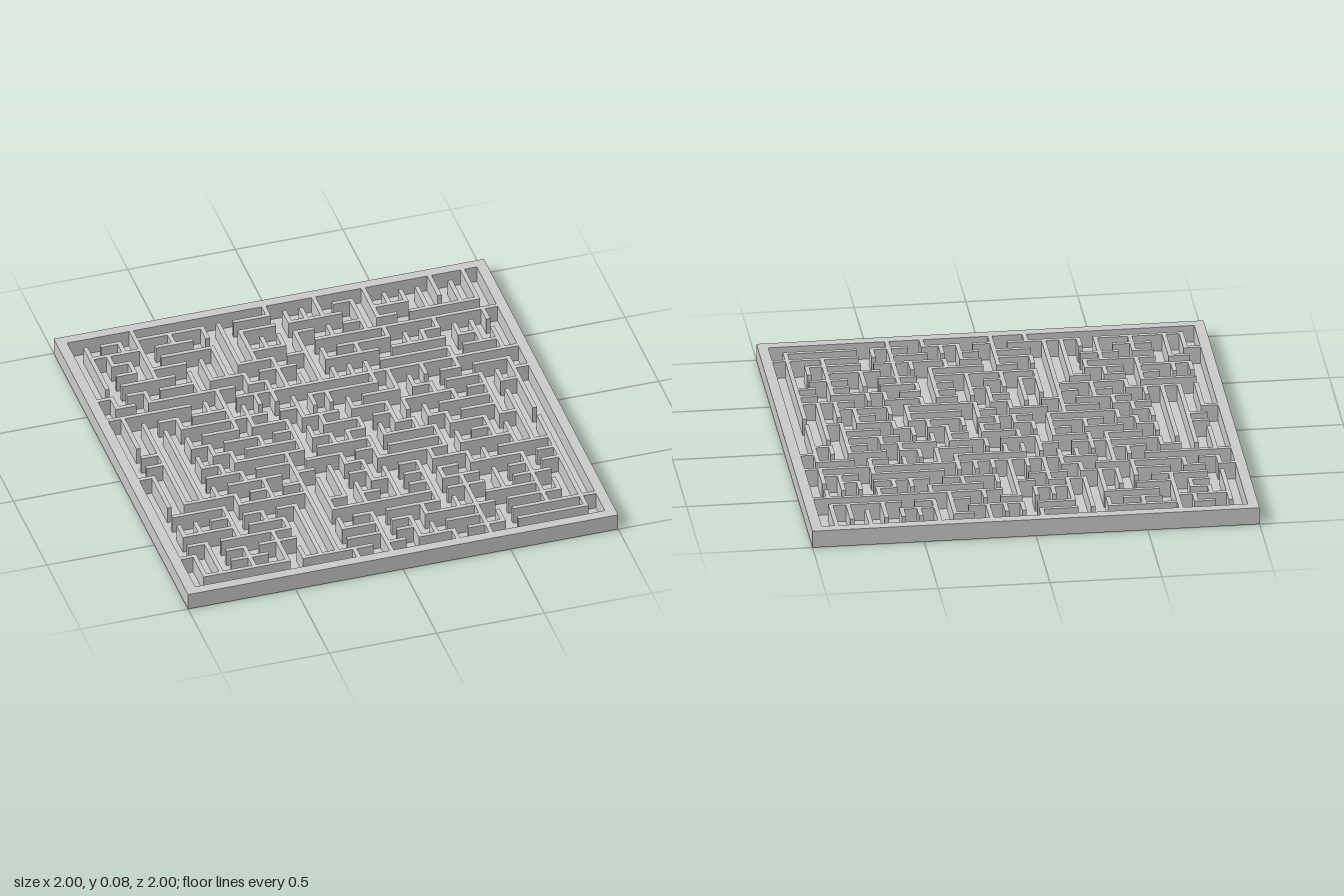
import * as THREE from 'three';

const CELLS = 25, HEIGHT = 0.08, WALL = 0.02, INNER = 0.9525;
const PITCH = (2 * INNER + WALL) / CELLS;

// One letter per inner grid post: the direction its wall runs (u = back, d = front, l, r)
const POSTS = [
  'drdulllldrruddurdudddudu',
  'rrruruluddllrruldulldudu'.replace(' ', ''),
  'uulurrrddddddldrdulrrrru',
  'uruulldddd' + 'lldrrrrrrrrrrr',
  'urruldddrrdrddrrrudruddu',
  'lrdrrdrrdrdldrrulrrulrdd',
  'ulrrrrdlrdddddddrrrrdrrd',
  'lllllddrrrrrrrrrrrrrrrrr',
  'udrdrrdduudrrrruudururrd',
  'uddrrrrdlrduudrrurdrrddr',
  'udddrrurrdrdlrrdrrrdrdru',
  'rddrdrrdrddrrdrdudrrrddu',
  'rdddrdrrrdrddldrdrdrrddu',
  'lddrdrrrdlrrrdrrrdrrdrdu',
  'uddrrdrrdrrdrdrrrddrdddd',
  'udddrrdldldrdrrrdlrrrddd',
  'urrrdrdrdddrddrdrrddrrrd',
  'rrrdrrrrddddrdrddlrrrdrd',
  'ddrdrdrdddldldrdrdldrdrd',
  'rrrdrrdddrrrrrrdrdldrdld',
  'rdrrrdldddrdrrdlddrrrddd',
  'ldrdrdlddrrdrdrrrdlrrdld',
  'udrdlddddrrdrddrrddrrrrr',
  'ulllllrrrdldlrrdrdlrrrru',
];
const STEP = { u: [0, -1], d: [0, 1], l: [-1, 0], r: [1, 0] };

// Strips alternate rim/wall (even) and corridor (odd)
const STRIPS = 2 * CELLS + 1;
function edge(i) {
  if (i === 0) return -1;
  if (i === STRIPS) return 1;
  const line = -INNER - WALL / 2 + Math.floor(i / 2) * PITCH;
  return line + (i % 2 ? WALL / 2 : -WALL / 2);
}

// Mark which strip crossings are raised
function raisedCells() {
  const raised = new Set();
  const mark = (i, j) => raised.add(j * STRIPS + i);
  for (let k = 0; k < STRIPS; k++) {
    mark(k, 0); mark(k, STRIPS - 1); mark(0, k); mark(STRIPS - 1, k);
  }
  POSTS.forEach((row, r) => [...row].forEach((c, k) => {
    const i = 2 * (k + 1), j = 2 * (r + 1), [dx, dz] = STEP[c];
    for (let n = 0; n <= 2; n++) mark(i + dx * n, j + dz * n);
  }));
  return (i, j) => i >= 0 && j >= 0 && i < STRIPS && j < STRIPS && raised.has(j * STRIPS + i);
}

function quad(out, a, b, c, d) {
  out.push(...a, ...b, ...c, ...a, ...c, ...d);
}

function sheet(name, positions, material) {
  const geometry = new THREE.BufferGeometry();
  geometry.setAttribute('position', new THREE.Float32BufferAttribute(positions, 3));
  geometry.computeVertexNormals();
  const mesh = new THREE.Mesh(geometry, material);
  mesh.name = name;
  return mesh;
}

export function createModel() {
  const isRaised = raisedCells();
  const floor = [], walls = [], rim = [];
  for (let j = 0; j < STRIPS; j++) {
    for (let i = 0; i < STRIPS; i++) {
      const x0 = edge(i), x1 = edge(i + 1), z0 = edge(j), z1 = edge(j + 1);
      const up = isRaised(i, j), y = up ? HEIGHT : 0;
      const onRim = i === 0 || j === 0 || i === STRIPS - 1 || j === STRIPS - 1;
      const out = !up ? floor : onRim ? rim : walls;
      // Floor patch or wall top
      quad(out, [x0, y, z0], [x0, y, z1], [x1, y, z1], [x1, y, z0]);
      if (!up) continue;
      // Upright faces wherever a raised patch meets a lower one; the underside stays hollow
      const side = (ax, az, bx, bz) =>
        quad(out, [ax, 0, az], [bx, 0, bz], [bx, HEIGHT, bz], [ax, HEIGHT, az]);
      if (!isRaised(i + 1, j)) side(x1, z1, x1, z0);
      if (!isRaised(i - 1, j)) side(x0, z0, x0, z1);
      if (!isRaised(i, j + 1)) side(x0, z1, x1, z1);
      if (!isRaised(i, j - 1)) side(x1, z0, x0, z0);
    }
  }
  const material = new THREE.MeshStandardMaterial({ color: 0xcccccc, side: THREE.DoubleSide });
  const model = new THREE.Group();
  model.name = 'mazeTray';
  model.add(
    sheet('floor', floor, material),
    sheet('mazeWalls', walls, material),
    sheet('rim', rim, material),
  );
  return model;
}
